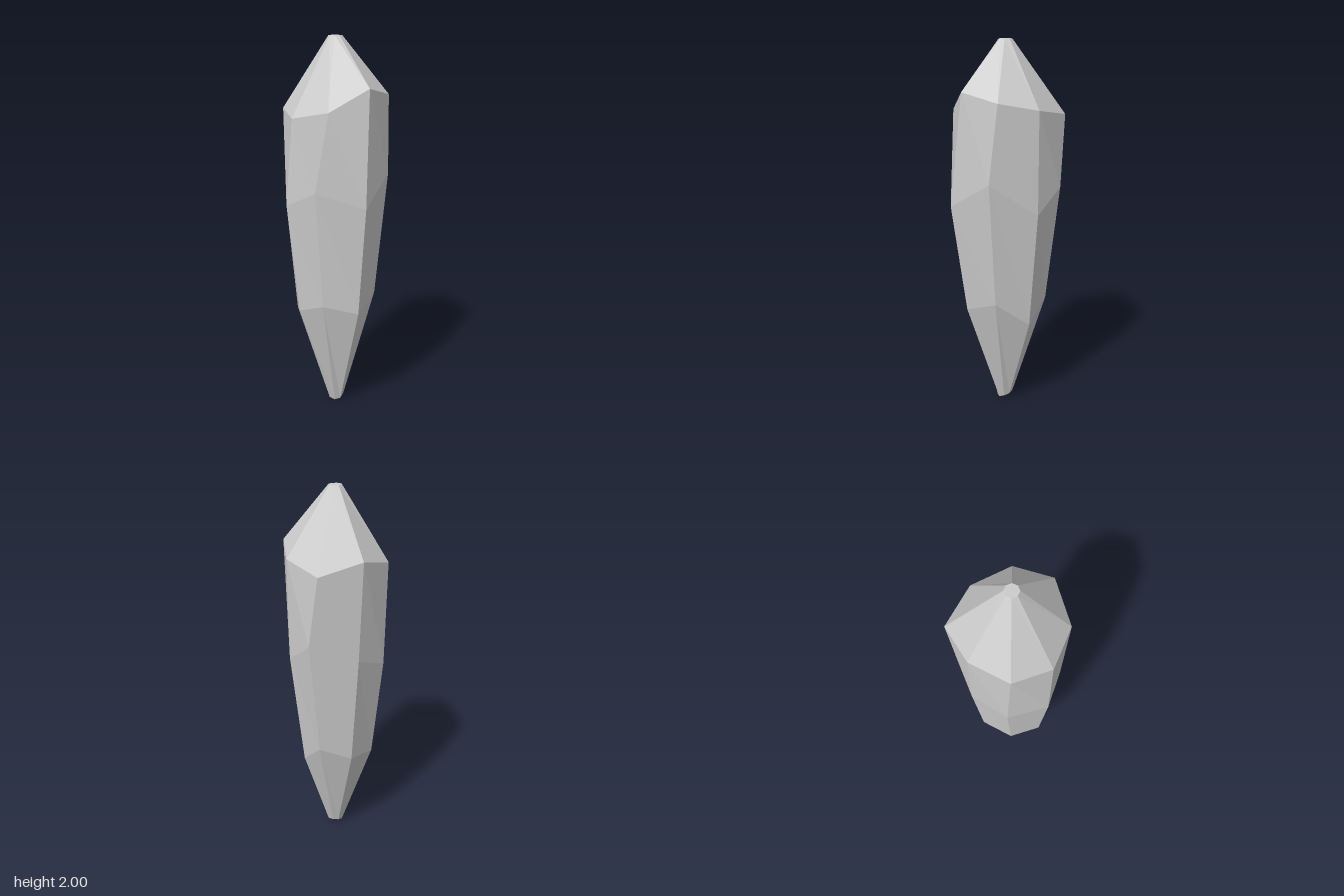
import * as THREE from 'three';

const SIDES = 8;

// small flat octagon, optionally tilted so that it rises toward the back
function octagon(cx, cz, r, y, tilt = 0) {
  return Array.from({ length: SIDES }, (_, i) => {
    const a = (i / SIDES) * Math.PI * 2;
    const dz = r * Math.sin(a);
    return [cx + r * Math.cos(a), y - tilt * dz, cz + dz];
  });
}

// Rings run from the +x corner round the front to the back (x, y, z)
const tip = octagon(-0.005, 0.015, 0.034, 2);
const shoulder = [
  [0.265, 1.715, 0.015], [0.185, 1.757, 0.205], [-0.003, 1.65, 0.286], [-0.195, 1.61, 0.205],
  [-0.275, 1.64, 0.015], [-0.195, 1.69, -0.175], [-0.003, 1.635, -0.288], [0.185, 1.675, -0.175],
];
const waist = [
  [0.272, 1.32, 0.06], [0.18, 1.18, 0.272], [-0.075, 1.25, 0.26], [-0.23, 1.17, 0.205],
  [-0.27, 1.1, 0], [-0.18, 1.175, -0.18], [0.05, 1.27, -0.275], [0.183, 1.15, -0.175],
];
const taper = [
  [0.21, 0.66, 0.04], [0.14, 0.595, 0.205], [-0.045, 0.63, 0.215], [-0.175, 0.59, 0.18],
  [-0.215, 0.54, 0.02], [-0.14, 0.57, -0.14], [0.02, 0.64, -0.205], [0.13, 0.52, -0.13],
];
const foot = octagon(-0.003, 0.02, 0.043, 0.018, 0.42);

// Faceted skin through a stack of rings, closed at both ends
function loftRings(rings) {
  const pos = [];
  const tri = (...points) => points.forEach((p) => pos.push(...p));
  for (let k = 0; k < rings.length - 1; k++) {
    const up = rings[k], low = rings[k + 1];
    for (let i = 0; i < SIDES; i++) {
      const j = (i + 1) % SIDES;
      tri(up[j], low[i], up[i]);
      tri(up[j], low[j], low[i]);
    }
  }
  const top = rings[0], bottom = rings[rings.length - 1];
  for (let i = 1; i < SIDES - 1; i++) {
    tri(top[0], top[i + 1], top[i]);
    tri(bottom[0], bottom[i], bottom[i + 1]);
  }
  const geometry = new THREE.BufferGeometry();
  geometry.setAttribute('position', new THREE.Float32BufferAttribute(pos, 3));
  geometry.computeVertexNormals();
  return geometry;
}

export function createModel() {
  const group = new THREE.Group();
  group.name = 'crystal';
  const material = new THREE.MeshStandardMaterial({ color: 0xcccccc, flatShading: true });
  const shard = new THREE.Mesh(loftRings([tip, shoulder, waist, taper, foot]), material);
  shard.name = 'crystalShard';
  group.add(shard);
  return group;
}
